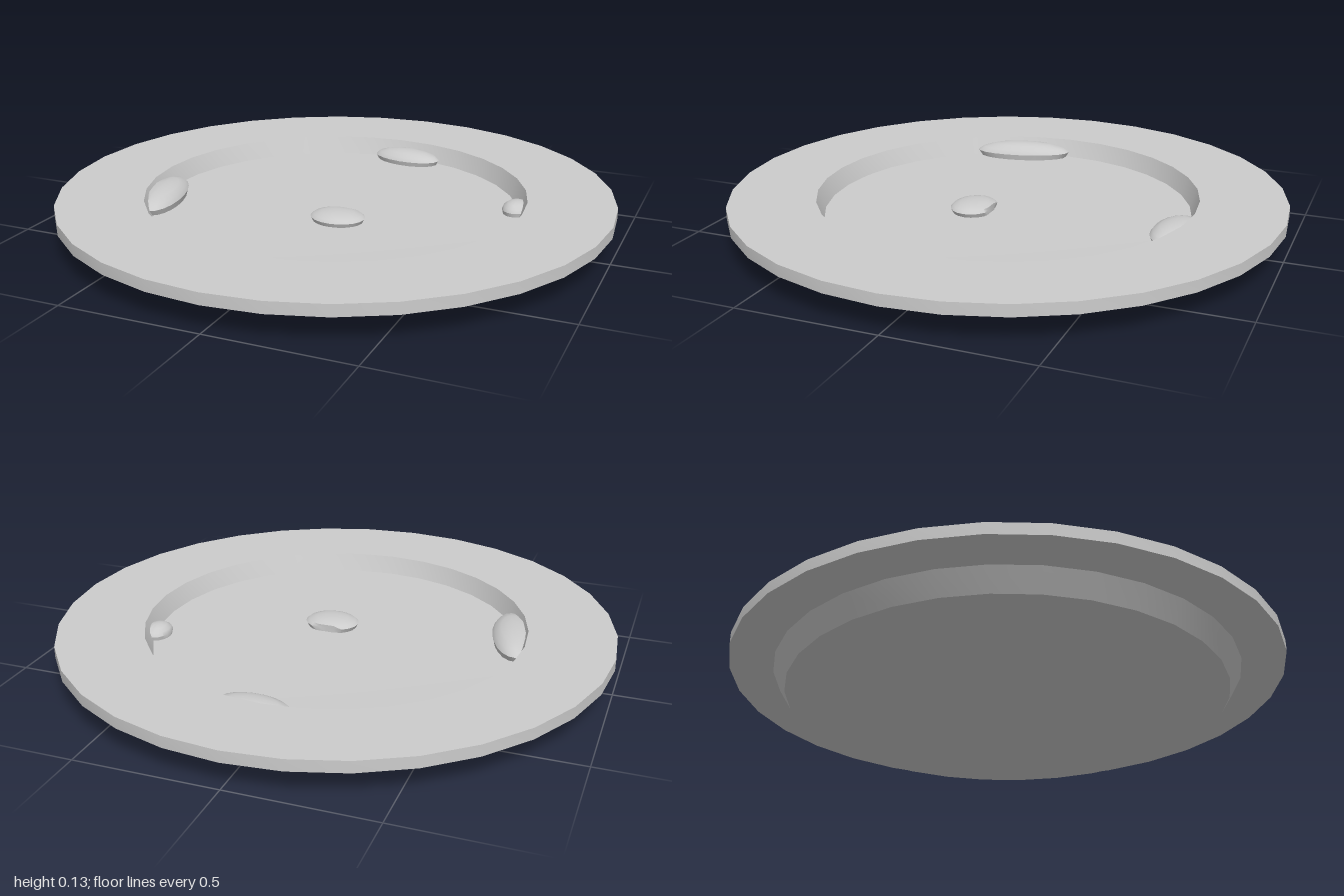
import * as THREE from 'three';
import { toCreasedNormals } from 'three/addons/utils/BufferGeometryUtils.js';

const material = new THREE.MeshStandardMaterial({ color: 0xcccccc });
const points = (list) => list.map(([r, y]) => new THREE.Vector2(r, y));

// Thin plate: slightly sagging base, flared foot, flat rim and shallow well
function makePlate() {
  const profile = points([
    [0, 0], [0.8, 0.01], [0.845, 0.085], [1, 0.092], [1, 0.133],
    [0.69, 0.131], [0.665, 0.065], [0, 0.055],
  ]);
  const plate = new THREE.Mesh(toCreasedNormals(new THREE.LatheGeometry(profile, 32), 0.5), material);
  plate.name = 'plate';
  return plate;
}

// Domed crumb: an oval with an undercut side, cut off at its back and by the well's wall
function makeCrumb({ name, x, z, length, width, top, angle, back = 1 }) {
  const base = 0.05;
  const h = top - base;
  const dome = new THREE.LatheGeometry(points([
    [0, 0], [0.88, 0], [1, 0.5], [0.88, 0.72], [0.6, 0.9], [0.3, 0.98], [0, 1],
  ]), 20);
  const pos = dome.attributes.position;
  const cos = Math.cos(angle), sin = Math.sin(angle);
  const wall = 0.685;
  for (let i = 0; i < pos.count; i++) {
    const u = pos.getX(i) * length;
    const v = Math.max(pos.getZ(i), -back) * width;
    let px = x + u * cos - v * sin;
    let pz = z + u * sin + v * cos;
    const r = Math.hypot(px, pz);
    if (r > wall) {
      px *= wall / r;
      pz *= wall / r;
    }
    pos.setXYZ(i, px, base + pos.getY(i) * h, pz);
  }
  const crumb = new THREE.Mesh(toCreasedNormals(dome, 0.7), material);
  crumb.name = name;
  return crumb;
}

export function createModel() {
  const group = new THREE.Group();
  group.name = 'plateWithCrumbs';
  group.add(makePlate());
  const crumbs = [
    { name: 'centreCrumb', x: 0.055, z: 0.11, length: 0.1, width: 0.083, top: 0.095, angle: 0, back: 0.8 },
    { name: 'backCrumb', x: 0.048, z: -0.635, length: 0.138, width: 0.075, top: 0.112, angle: 0.12 },
    { name: 'rightCrumb', x: -0.615, z: 0.18, length: 0.19, width: 0.075, top: 0.122, angle: -1.82 + Math.PI * 2 },
    { name: 'leftCrumb', x: 0.62, z: -0.205, length: 0.05, width: 0.065, top: 0.108, angle: 0 },
  ];
  for (const crumb of crumbs) group.add(makeCrumb(crumb));
  return group;
}
